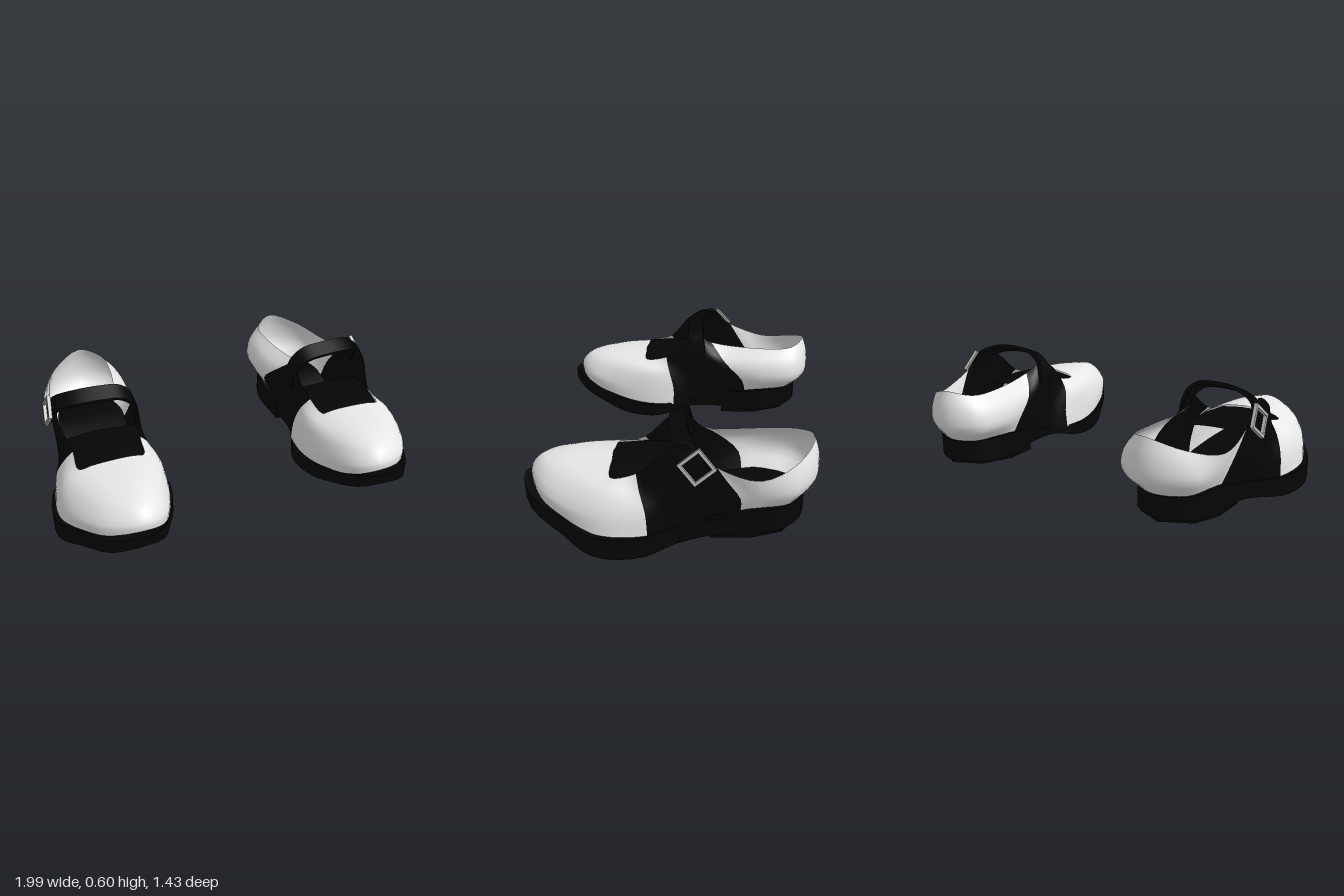
import * as THREE from 'three';
import { toCreasedNormals } from 'three/addons/utils/BufferGeometryUtils.js';

const light = new THREE.MeshStandardMaterial({ color: 0xeaeaea, side: THREE.DoubleSide });
light.name = 'lightLeather';
const dark = new THREE.MeshStandardMaterial({ color: 0x050505, side: THREE.DoubleSide });
dark.name = 'blackLeather';
const metal = new THREE.MeshStandardMaterial({ color: 0xb4b4b0 });
metal.name = 'buckleMetal';

const V = (x, y, z) => new THREE.Vector3(x, y, z);

// Skin over columns of points; isDark(column) picks the second material
function skin(columns, closed, isDark = () => false) {
  const rows = columns[0].length, n = columns.length, sides = [[], []];
  for (let i = 0; i < (closed ? n : n - 1); i++) {
    const out = sides[isDark(i) ? 1 : 0], k = (i + 1) % n;
    for (let j = 0; j < rows - 1; j++) {
      const a = i * rows + j, b = k * rows + j;
      out.push(a, a + 1, b, b, a + 1, b + 1);
    }
  }
  const g = new THREE.BufferGeometry().setFromPoints(columns.flat());
  g.setIndex([...sides[0], ...sides[1]]);
  g.addGroup(0, sides[0].length, 0);
  g.addGroup(sides[0].length, sides[1].length, 1);
  g.computeVertexNormals();
  return g;
}

// Upper stations: base, bulge, shoulder and rim point, from heel round the outside to the toe
const outerStations = [
  [.62, .2, -.64, .61, .28, -.71, .61, .4, -.71, .61, .485, -.685],
  [.76, .2, -.58, .8, .28, -.61, .79, .36, -.62, .77, .43, -.61],
  [.81, .2, -.44, .84, .27, -.45, .86, .33, -.44, .87, .385, -.44],
  [.81, .17, -.35, .85, .27, -.35, .87, .37, -.29, .88, .45, -.24],
  [.83, .12, -.15, .87, .25, -.15, .885, .38, -.12, .865, .55, -.09],
  [.88, .1, -.02, .9, .23, 0, .885, .35, .03, .875, .485, .025],
  [.94, .1, .07, .93, .22, .08, .89, .31, .11, .84, .375, .13],
  [.97, .11, .28, .955, .21, .28, .91, .3, .25, .84, .345, .25],
  [.9, .15, .46, .895, .22, .46, .83, .32, .43, .78, .36, .26],
  [.79, .19, .6, .79, .25, .6, .73, .335, .55, .71, .365, .26],
];
// From the toe back along the inside
const innerStations = [
  [.63, .23, .67, .63, .275, .67, .63, .34, .605, .64, .37, .265],
  [.52, .19, .61, .515, .25, .61, .55, .335, .55, .58, .365, .26],
  [.44, .14, .45, .44, .22, .45, .48, .32, .43, .54, .36, .26],
  [.4, .1, .27, .405, .2, .27, .43, .31, .25, .505, .35, .25],
  [.41, .1, .08, .42, .2, .08, .44, .31, .11, .49, .375, .13],
  [.46, .1, -.03, .455, .23, -.02, .455, .34, .01, .46, .475, .015],
  [.47, .12, -.17, .44, .25, -.18, .45, .38, -.1, .48, .52, -.07],
  [.46, .17, -.35, .42, .27, -.33, .435, .37, -.23, .525, .465, -.14],
  [.46, .2, -.46, .405, .28, -.46, .42, .38, -.44, .49, .45, -.44],
  [.51, .2, -.59, .44, .28, -.63, .45, .38, -.63, .5, .46, -.61],
];

function upperGeometry() {
  const stations = [...outerStations, ...innerStations], sub = 4;
  const rails = [0, 3, 6, 9].map(k =>
    new THREE.CatmullRomCurve3(stations.map(s => V(s[k], s[k + 1], s[k + 2])), true));
  const columns = [], n = stations.length * sub;
  for (let i = 0; i < n; i++) {
    const profile = new THREE.CatmullRomCurve3(rails.map(r => r.getPoint(i / n)));
    columns.push(profile.getPoints(9));
  }
  // Black quarters on both sides between the heel and the toe cap
  return skin(columns, true, i => {
    const s = Math.floor(i / sub);
    return (s >= 3 && s < 6) || (s >= 14 && s < 17);
  });
}

// Sole edge: x, z, top y, bottom y, from the toe round the outside
const soleEdge = [
  [.62, .71, .225, .175], [.79, .65, .2, .125], [.905, .47, .155, .055], [.98, .35, .12, .015],
  [.995, .24, .11, 0], [.96, .08, .105, 0], [.88, -.05, .11, .02], [.85, -.2, .14, .055],
  [.84, -.4, .2, .07], [.79, -.56, .2, .08], [.64, -.65, .2, .085], [.49, -.57, .2, .08],
  [.43, -.4, .2, .07], [.46, -.2, .16, .075], [.45, 0, .11, .07], [.39, .13, .105, .04],
  [.37, .22, .105, .035], [.4, .37, .125, .04], [.46, .5, .155, .07], [.53, .64, .2, .125],
];

function soleGeometry() {
  const rail = k => new THREE.CatmullRomCurve3(soleEdge.map(e => V(e[0], e[k], e[1])), true);
  const top = rail(2), bottom = rail(3), columns = [], n = 60;
  // Both faces span between opposite edge points
  const middle = (curve, i) => curve.getPoint(i / n).lerp(curve.getPoint(1 - i / n), .5);
  for (let i = n; i > 0; i--)
    columns.push([middle(bottom, i), bottom.getPoint(i / n), top.getPoint(i / n), middle(top, i)]);
  return toCreasedNormals(skin(columns, true), .7);
}

// Heel block with a slightly sloping underside
function heelGeometry() {
  const pts = [[.84, .21], [.84, .4], [.79, .55], [.64, .64], [.5, .56], [.44, .4], [.455, .21]];
  const shape = new THREE.Shape(pts.map(p => new THREE.Vector2(...p)));
  const g = new THREE.ExtrudeGeometry(shape, { depth: .1, bevelEnabled: false });
  g.rotateX(-Math.PI / 2).translate(0, .05, 0);
  const p = g.attributes.position;
  for (let i = 0; i < p.count; i++)
    if (p.getY(i) < .1) p.setY(i, .04 + (-p.getZ(i) - .21) * .06);
  g.computeVertexNormals();
  return g;
}

// Tongue arching between the two quarters: z, y, inner x, outer x
function tongueGeometry() {
  const rows = [[.27, .342, .505, .835], [.2, .345, .495, .845], [.12, .345, .475, .855], [.03, .335, .462, .875], [-.05, .325, .46, .875]];
  return skin(rows.map(([z, y, a, b]) => Array.from({ length: 9 }, (_, j) =>
    V(a + (b - a) * j / 8, y + .018 * Math.sin(Math.PI * j / 8), z))), false);
}

// Flat strap swept over the instep
function strapGeometry() {
  const path = new THREE.CatmullRomCurve3([
    V(.888, .42, -.165), V(.883, .47, -.14), V(.855, .525, -.1), V(.76, .56, -.06), V(.63, .566, -.045),
    V(.54, .553, -.045), V(.485, .51, -.05), V(.462, .45, -.06), V(.458, .38, -.07)]);
  const across = V(0, .4, -.92), columns = [], n = 32;
  for (let i = 0; i <= n; i++) {
    const p = path.getPoint(i / n);
    const normal = path.getTangent(i / n).cross(across).normalize();
    columns.push([[1, 1], [1, -1], [-1, -1], [-1, 1], [1, 1]].map(([a, b]) =>
      p.clone().addScaledVector(across, a * .045).addScaledVector(normal, b * .01)));
  }
  return toCreasedNormals(skin(columns, false), .7);
}

// Square buckle frame leaning against the outer side
function buckleGeometry() {
  const square = (path, r) => path.moveTo(-r, -r).lineTo(r, -r).lineTo(r, r).lineTo(-r, r).closePath();
  const shape = square(new THREE.Shape(), .0635), hole = square(new THREE.Path(), .049);
  shape.holes.push(hole);
  const g = new THREE.ExtrudeGeometry(shape, { depth: .018, bevelEnabled: false });
  return g.rotateY(Math.PI / 2).rotateX(.7).rotateZ(.2).translate(.893, .458, -.152);
}

// Mirror across x and restore the corner order
function mirrored(geometry) {
  const g = geometry.index ? geometry.toNonIndexed() : geometry.clone();
  g.scale(-1, 1, 1);
  const source = g.attributes.position.clone();
  const flat = geometry.index ? geometry.toNonIndexed() : geometry;
  const normals = flat.attributes.normal;
  for (let i = 0; i < source.count; i++) {
    const k = [i, i + 1, i - 1][i % 3];
    g.attributes.position.setXYZ(i, source.getX(k), source.getY(k), source.getZ(k));
    g.attributes.normal.setXYZ(i, -normals.getX(k), normals.getY(k), normals.getZ(k));
  }
  return g;
}

export function createModel() {
  const model = new THREE.Group();
  model.name = 'pairOfShoes';
  const parts = [
    ['upper', upperGeometry(), [light, dark]],
    ['sole', soleGeometry(), dark],
    ['heel', heelGeometry(), dark],
    ['tongue', tongueGeometry(), dark],
    ['strap', strapGeometry(), dark],
    ['buckle', buckleGeometry(), metal],
  ];
  for (const side of ['left', 'right']) {
    const shoe = new THREE.Group();
    shoe.name = side + 'Shoe';
    for (const [name, geometry, material] of parts) {
      const mesh = new THREE.Mesh(side === 'left' ? geometry : mirrored(geometry), material);
      mesh.name = name;
      shoe.add(mesh);
    }
    model.add(shoe);
  }
  return model;
}
